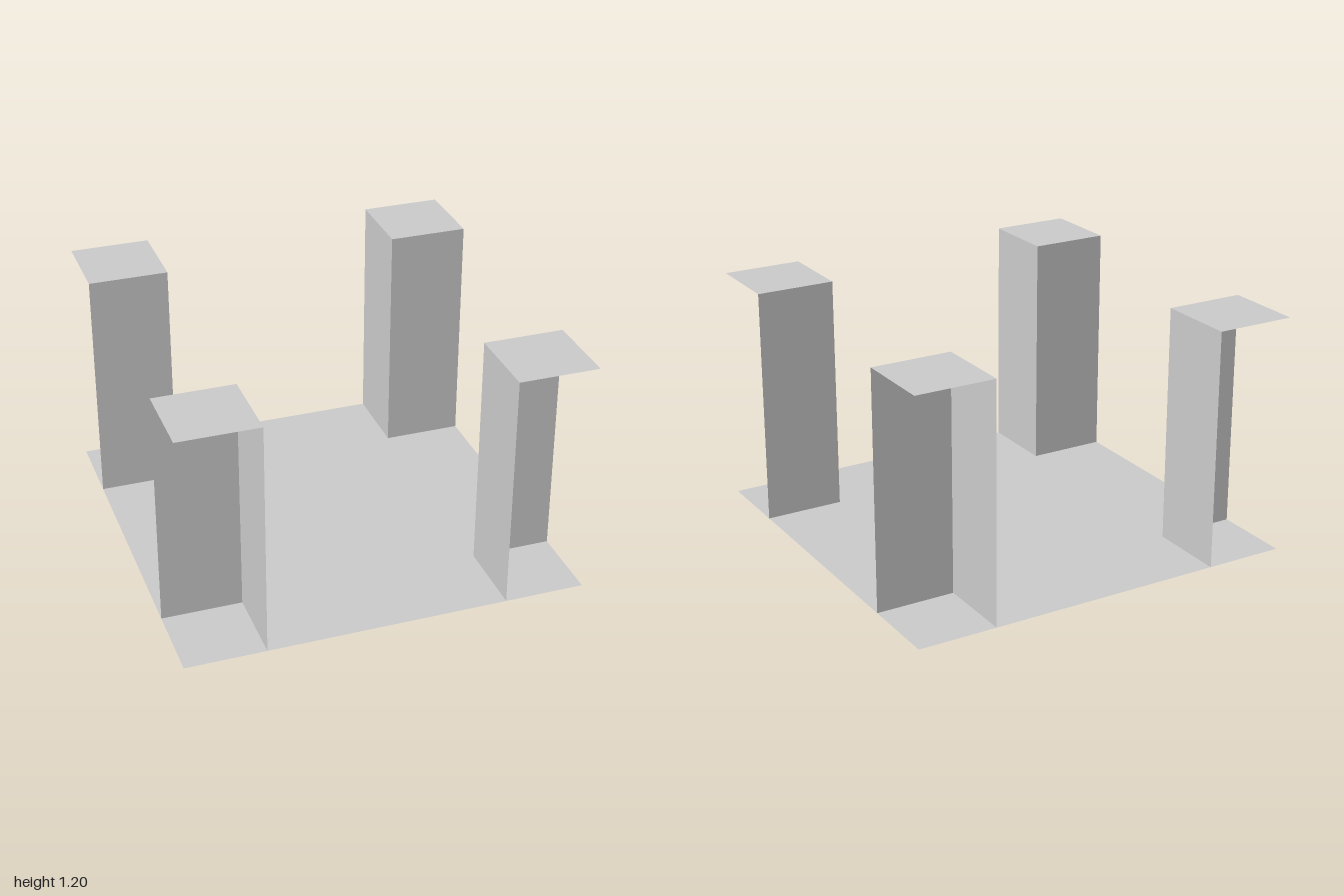
import * as THREE from 'three';

const HALF = 1;        // half the floor width
const SIZE = 0.4;      // corner block width
const HEIGHT = 1.2;    // corner block height

const material = new THREE.MeshStandardMaterial({
  color: 0xcccccc, flatShading: true, side: THREE.DoubleSide,
});

// Thin sheet, turned and then placed
function sheet(name, width, height, rotation, position) {
  const mesh = new THREE.Mesh(new THREE.PlaneGeometry(width, height), material);
  mesh.name = name;
  mesh.rotation.set(...rotation);
  mesh.position.set(...position);
  return mesh;
}

// Corner block: a top and the two walls facing the room, open on the outside
function cornerBlock(name, sx, sz) {
  const group = new THREE.Group();
  group.name = name;
  const inner = HALF - SIZE;
  const mid = HALF - SIZE / 2;
  group.add(
    sheet('blockTop', SIZE, SIZE, [-Math.PI / 2, 0, 0], [sx * mid, HEIGHT, sz * mid]),
    sheet('sideWall', SIZE, HEIGHT, [0, -sx * Math.PI / 2, 0], [sx * inner, HEIGHT / 2, sz * mid]),
    sheet('endWall', SIZE, HEIGHT, [0, sz > 0 ? Math.PI : 0, 0], [sx * mid, HEIGHT / 2, sz * inner]),
  );
  return group;
}

export function createModel() {
  const model = new THREE.Group();
  model.name = 'floorWithCornerBlocks';

  // Floor
  model.add(sheet('floor', 2 * HALF, 2 * HALF, [-Math.PI / 2, 0, 0], [0, 0, 0]));

  // Four corner blocks
  for (const sx of [-1, 1]) {
    for (const sz of [-1, 1]) {
      const name = (sz > 0 ? 'front' : 'back') + (sx > 0 ? 'Left' : 'Right') + 'Block';
      model.add(cornerBlock(name, sx, sz));
    }
  }
  return model;
}
